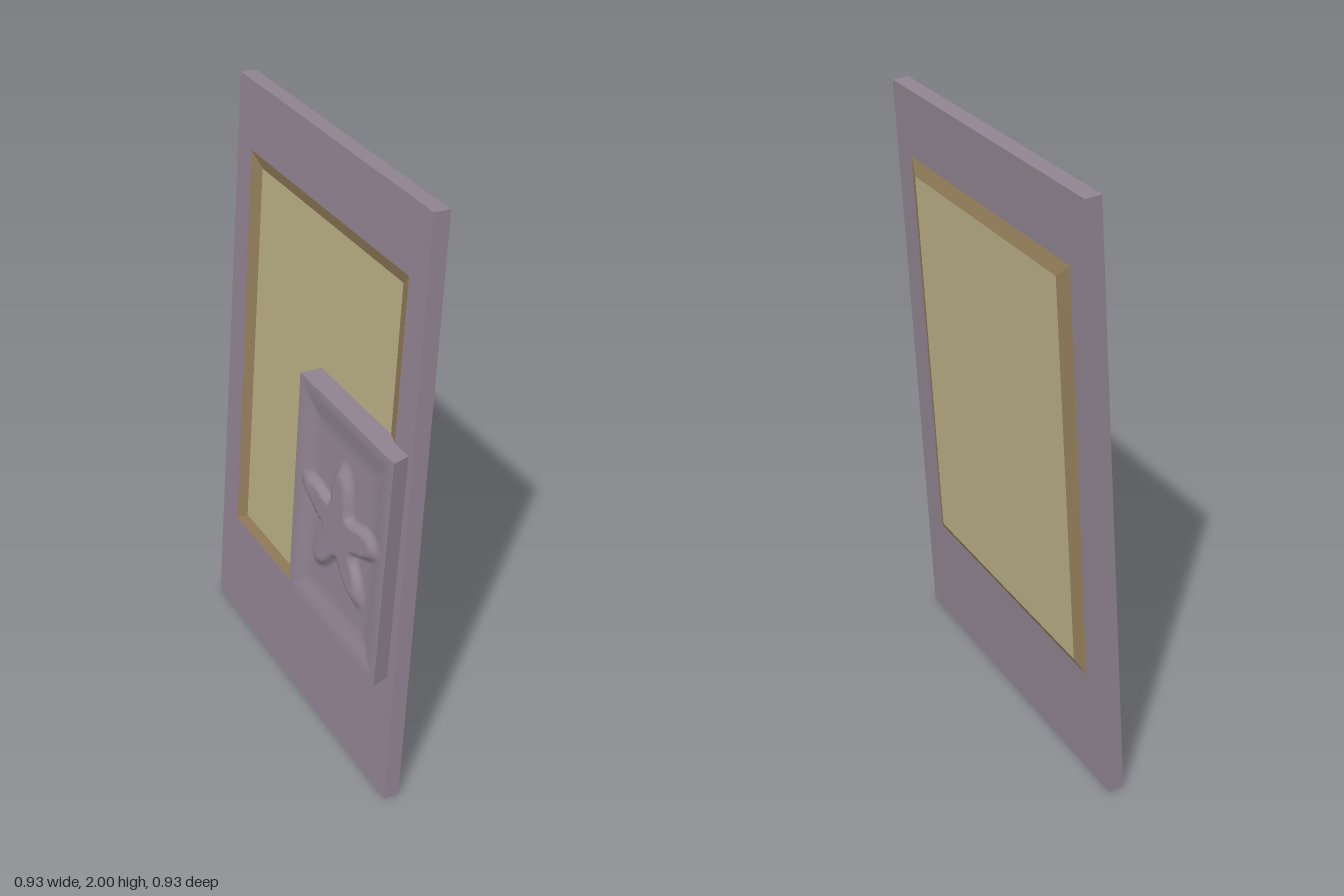
import * as THREE from 'three';

const slabMat = new THREE.MeshStandardMaterial({ color: 0x908390 });
const frameMat = new THREE.MeshStandardMaterial({ color: 0x937d5a });
const paneMat = new THREE.MeshStandardMaterial({ color: 0xb8ae84 });

const THICK = 0.052; // slab thickness
const PUSH = 0.016; // how far the pane is pushed towards the back

// Corners of an upright trapezoid, anticlockwise from bottom left
const trapezoid = (halfBottom, halfTop, y0, y1) => [
  new THREE.Vector2(-halfBottom, y0), new THREE.Vector2(halfBottom, y0),
  new THREE.Vector2(halfTop, y1), new THREE.Vector2(-halfTop, y1),
];

function addMesh(parent, name, geometry, material) {
  const mesh = new THREE.Mesh(geometry, material);
  mesh.name = name;
  parent.add(mesh);
  return mesh;
}

// Sloping ring between two trapezoids; flip makes it face the back
function slopedRing(outer, zOuter, inner, zInner, flip) {
  const pos = [];
  for (let i = 0; i < 4; i++) {
    const j = (i + 1) % 4;
    const a = [outer[i].x, outer[i].y, zOuter], b = [outer[j].x, outer[j].y, zOuter];
    const c = [inner[j].x, inner[j].y, zInner], d = [inner[i].x, inner[i].y, zInner];
    const tris = flip ? [a, c, b, a, d, c] : [a, b, c, a, c, d];
    pos.push(...tris.flat());
  }
  const g = new THREE.BufferGeometry();
  g.setAttribute('position', new THREE.Float32BufferAttribute(pos, 3));
  g.computeVertexNormals();
  return g;
}

// Relief of the plaque: a shallow dish with a five-armed rounded star
function relief(x, y, w, h) {
  const edge = Math.min(w / 2 - Math.abs(x), h / 2 - Math.abs(y));
  const dish = -0.016 * THREE.MathUtils.smoothstep(edge, 0.01, 0.12);
  const px = x, py = y + 0.01;
  const r = Math.hypot(px, py);
  const arm = Math.pow(0.5 + 0.5 * Math.cos(5 * (Math.atan2(py, px) - Math.PI / 2)), 1.3);
  const reach = 0.11 + 0.145 * arm;
  const star = 0.022 * (1 - THREE.MathUtils.smoothstep(r / reach, 0.75, 1.0));
  return dish + star;
}

function plaqueGeometry(w, h, d) {
  const g = new THREE.BoxGeometry(w, h, d, 56, 80, 1);
  const p = g.attributes.position;
  const n = g.attributes.normal;
  for (let i = 0; i < p.count; i++) {
    const x = p.getX(i), y = p.getY(i);
    if (n.getZ(i) > 0.5) p.setZ(i, p.getZ(i) + relief(x, y, w, h));
    // The far side slants in towards the slab
    if (p.getZ(i) < 0) p.setX(i, x - 0.022 * (x / w + 0.5));
  }
  g.computeVertexNormals();
  return g;
}

export function createModel() {
  const model = new THREE.Group();
  model.name = 'door';
  const leaf = new THREE.Group();
  leaf.name = 'leaf';
  model.add(leaf);

  // Tapered slab with an opening for the pane
  const outer = trapezoid(0.482, 0.468, 0.395, 1.78);
  const inner = trapezoid(0.437, 0.42, 0.432, 1.735);
  const shape = new THREE.Shape(trapezoid(0.6, 0.555, 0, 2));
  shape.holes.push(new THREE.Path([...outer].reverse()));
  const slab = new THREE.ExtrudeGeometry(shape, { depth: THICK, bevelEnabled: false });
  slab.translate(0, 0, -THICK);
  addMesh(leaf, 'slab', slab, slabMat);

  // Sloping frame and pane on both faces
  for (const [side, z, back] of [['front', 0, false], ['back', -THICK, true]]) {
    addMesh(leaf, side + 'Frame', slopedRing(outer, z, inner, z - PUSH, back), frameMat);
    const pane = new THREE.ShapeGeometry(new THREE.Shape(inner));
    if (back) pane.rotateY(Math.PI);
    pane.translate(0, 0, z - PUSH);
    addMesh(leaf, side + 'Pane', pane, paneMat);
  }

  // Plaque with a star relief, over the lower left of the leaf
  const w = 0.552, h = 0.8, d = 0.072;
  const plaque = addMesh(leaf, 'starPlaque', plaqueGeometry(w, h, d), slabMat);
  plaque.position.set(0.29, 0.86, 0.021);

  // Leaf leans back slightly and stands turned by an eighth
  leaf.position.z = 0.062;
  leaf.rotation.x = -0.0575;
  model.rotation.y = -Math.PI / 4;
  return model;
}
